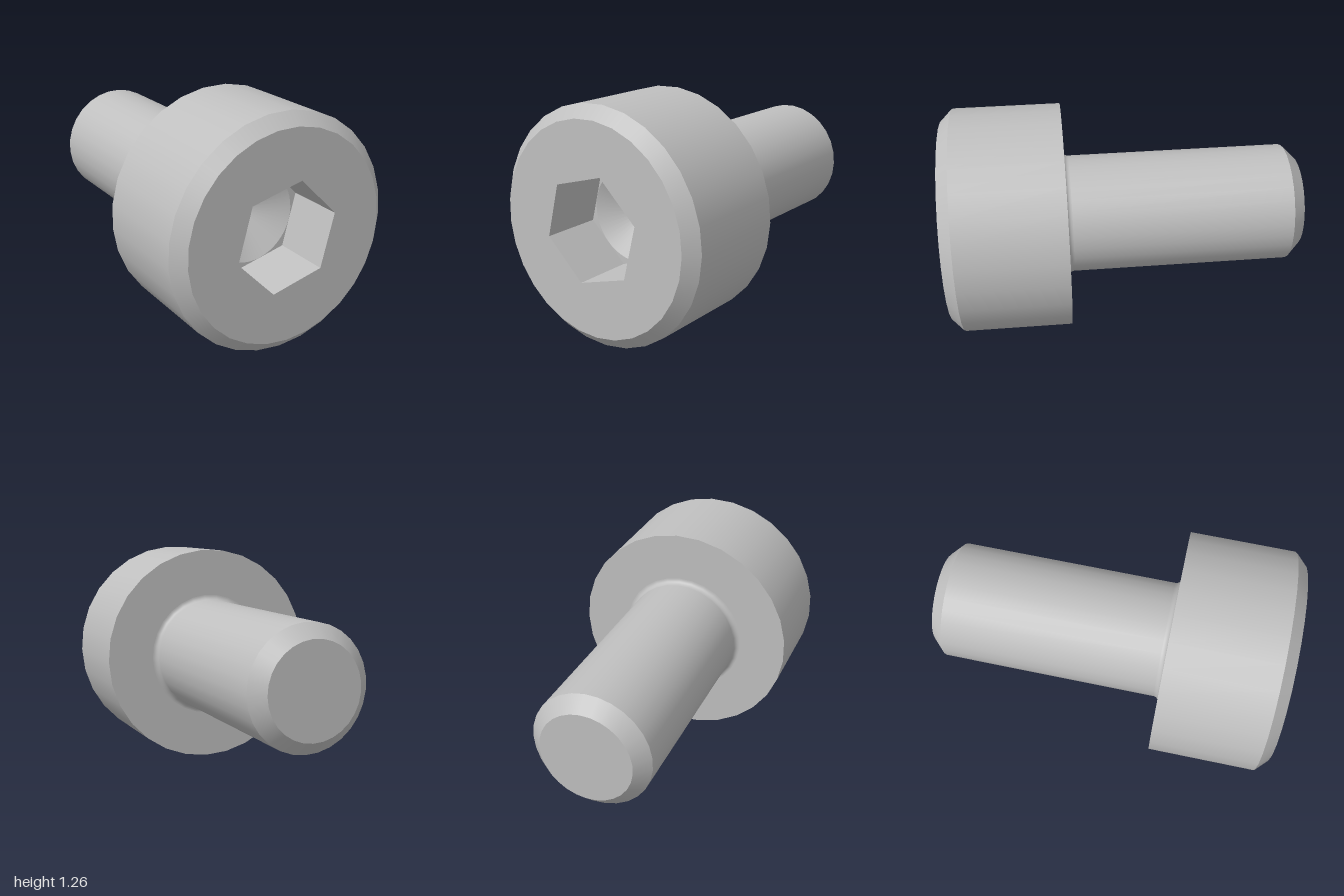
import * as THREE from 'three';

const SIDES = 29;
const START = THREE.MathUtils.degToRad(88.8);
const HEAD_R = 0.633, FACE_R = 0.566, SHAFT_R = 0.332, TIP_R = 0.257;
const HEAD_BACK = 0.333, FILLET = 0.03;
const HEX_R = 0.297, HEX_ANGLE = THREE.MathUtils.degToRad(15.6);
const HEX_IN = HEX_R * Math.cos(Math.PI / 6), SOCKET_Z = 0.667;

// Regular polygon as 2D points
function polygon(radius, sides, start) {
  return Array.from({ length: sides }, (_, i) => {
    const a = start + (i / sides) * Math.PI * 2;
    return new THREE.Vector2(Math.cos(a) * radius, Math.sin(a) * radius);
  });
}

// Flat plate facing +z with a hole
function plate(outer, hole, z) {
  const shape = new THREE.Shape(outer);
  shape.holes.push(new THREE.Path(hole));
  return new THREE.ShapeGeometry(shape).translate(0, 0, z);
}

// Turned surface around z from [radius, z] pairs
function turned(profile, sides = SIDES, start = START) {
  const points = profile.map(([r, z]) => new THREE.Vector2(r, z));
  return new THREE.LatheGeometry(points, sides, start).rotateX(Math.PI / 2);
}

export function createModel() {
  const group = new THREE.Group();
  group.name = 'socketHeadScrew';
  const steel = new THREE.MeshStandardMaterial({ color: 0xbfbfbf });
  steel.name = 'steel grey';

  const add = (name, geometry) => {
    const mesh = new THREE.Mesh(geometry, steel);
    mesh.name = name;
    mesh.position.y = HEAD_R;
    group.add(mesh);
  };

  // Shaft with chamfered tip
  add('shaftEnd', turned([[0, -1], [TIP_R, -1]]));
  add('shaftChamfer', turned([[TIP_R, -1], [SHAFT_R, -0.925]]));
  add('shaft', turned([[SHAFT_R, -0.925], [SHAFT_R, HEAD_BACK - FILLET]]));

  // Rounded transition under the head
  const fillet = Array.from({ length: 9 }, (_, i) => {
    const a = (i / 8) * Math.PI / 2;
    return [SHAFT_R + FILLET * (1 - Math.cos(a)), HEAD_BACK - FILLET * (1 - Math.sin(a))];
  });
  add('fillet', turned(fillet));

  // Head
  add('headUnderside', turned([[SHAFT_R + FILLET, HEAD_BACK], [HEAD_R, HEAD_BACK]]));
  add('headSide', turned([[HEAD_R, HEAD_BACK], [HEAD_R, 0.933]]));
  add('headChamfer', turned([[HEAD_R, 0.933], [FACE_R, 1]]));
  add('headFace', plate(
    polygon(FACE_R, SIDES, START - Math.PI / 2), polygon(HEX_R, 6, HEX_ANGLE), 1));

  // Hexagonal socket with a drilled conical bottom
  const walls = turned([[HEX_R, 1], [HEX_R, SOCKET_Z]], 6, HEX_ANGLE + Math.PI / 2).toNonIndexed();
  walls.computeVertexNormals();
  add('socketWalls', walls);
  add('socketFloor', plate(
    polygon(HEX_R, 6, HEX_ANGLE), polygon(HEX_IN - 0.001, 48, HEX_ANGLE), SOCKET_Z));
  add('socketCone', turned(
    [[HEX_IN - 0.001, SOCKET_Z], [0, SOCKET_Z - 0.148]], 48, HEX_ANGLE + Math.PI / 2));

  return group;
}
